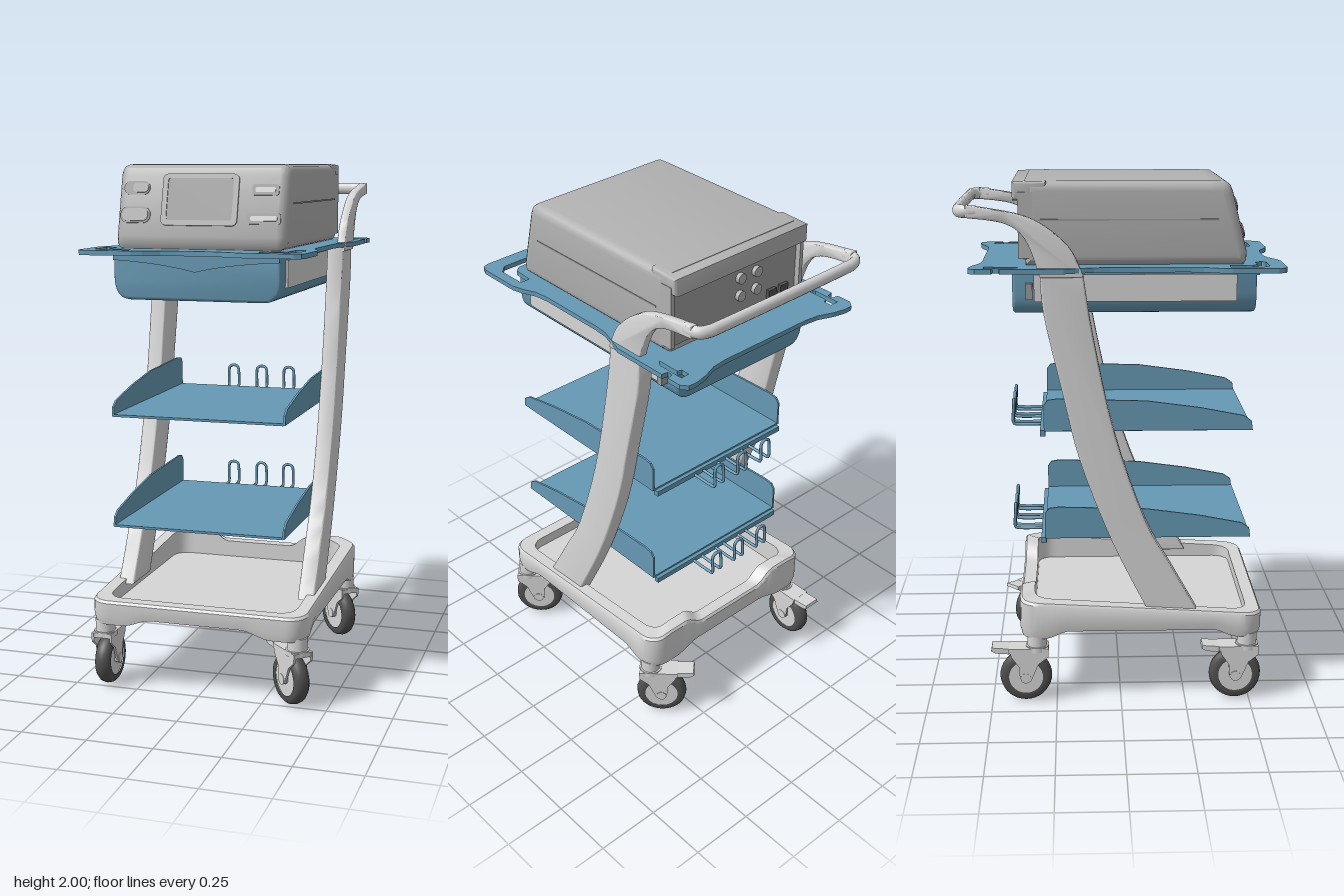
import * as THREE from 'three';
import { toCreasedNormals } from 'three/addons/utils/BufferGeometryUtils.js';

const mat = (name, color, side = THREE.FrontSide) => {
  const m = new THREE.MeshStandardMaterial({ color, side });
  m.name = name;
  return m;
};

export function createModel() {
  const blue = mat('trayBlue', 0x6699b4);
  const frame = mat('frameLightGrey', 0xd6d6d6);
  const grey = mat('consoleGrey', 0xb2b2b2);
  const panel = mat('panelGrey', 0x9c9c9c);
  const rubber = mat('tyreRubber', 0x505050);

  const model = new THREE.Group();
  model.name = 'equipmentTrolley';

  const add = (name, geo, material, parent = model) => {
    const m = new THREE.Mesh(geo, material);
    m.name = name;
    parent.add(m);
    return m;
  };
  const box = (name, x0, x1, y0, y1, z0, z1, material, parent) => add(name,
    new THREE.BoxGeometry(x1 - x0, y1 - y0, z1 - z0)
      .translate((x0 + x1) / 2, (y0 + y1) / 2, (z0 + z1) / 2), material, parent);
  const vecs = (pts) => pts.map(([a, b]) => new THREE.Vector2(a, b));
  const spline = (pts, n = 20) => new THREE.SplineCurve(vecs(pts)).getPoints(n).map((p) => [p.x, p.y]);
  const roundRect = (w, h, r, cx = 0, cy = 0) => {
    const s = new THREE.Shape();
    [[1, 1, 0], [-1, 1, 1], [-1, -1, 2], [1, -1, 3]].forEach(([sx, sy, q]) =>
      s.absarc(cx + sx * (w / 2 - r), cy + sy * (h / 2 - r), r, q * Math.PI / 2, (q + 1) * Math.PI / 2, false));
    s.closePath();
    return s;
  };
  const extrude = (shape, depth, bevel = 0) => new THREE.ExtrudeGeometry(shape, {
    depth: depth - 2 * bevel, curveSegments: 10, bevelEnabled: bevel > 0, bevelSize: bevel,
    bevelThickness: bevel, bevelOffset: -bevel, bevelSegments: 4,
  }).translate(0, 0, bevel);
  // Side profile given as [z, y], extruded across x
  const sideExtrude = (pts, xa, xb, bevel = 0) => toCreasedNormals(
    extrude(new THREE.Shape(vecs(pts)), Math.abs(xb - xa), bevel)
      .rotateY(-Math.PI / 2).translate(Math.max(xa, xb), 0, 0), 0.6);

  // Base: arched rim swept round the plan, with a recessed floor
  const zc = 0.0775;
  const smooth = THREE.MathUtils.smoothstep;
  const ring = roundRect(0.85, 0.935, 0.07).getSpacedPoints(160).slice(0, -1);
  const pos = [], idx = [];
  ring.forEach((p) => {
    const x = p.x, z = p.y + zc;
    const back = smooth(-z, 0.28, 0.36);
    const top = 0.36 + 0.055 * (0.545 - z) / 0.935
      + back * (0.012 * (1 - smooth(Math.abs(x), 0.34, 0.4)) - 0.045 * (1 - smooth(Math.abs(x), 0.16, 0.25)));
    const bottom = 0.265 + 0.03 * (1 - Math.max(
      smooth(Math.abs(x), 0.18, 0.3) * smooth(Math.abs(p.y), 0.28, 0.38), 0));
    const ix = x * 0.87, iz = p.y * 0.88 + zc;
    pos.push(x * 0.985, bottom, p.y * 0.985 + zc, x, bottom + 0.03, z, x, top - 0.01, z,
      x * 0.985, top, p.y * 0.985 + zc, ix, top, iz, ix, bottom, iz);
  });
  const K = 6, N = ring.length;
  for (let i = 0; i < N; i++) for (let k = 0; k < K; k++) {
    const a = i * K + k, b = i * K + (k + 1) % K, j = ((i + 1) % N) * K;
    const c = j + k, d = j + (k + 1) % K;
    idx.push(a, b, c, b, d, c);
  }
  const rim = new THREE.BufferGeometry();
  rim.setAttribute('position', new THREE.Float32BufferAttribute(pos, 3));
  rim.setIndex(idx);
  add('baseRim', toCreasedNormals(rim.toNonIndexed(), 0.6), frame);
  box('baseFloor', -0.385, 0.385, 0.293, 0.315, zc - 0.425, zc + 0.425, frame);

  // Casters: those on the left are swivelled
  const wheelProfile = vecs([[0.066, -0.028], [0.085, -0.03], [0.097, -0.018], [0.101, 0],
    [0.097, 0.018], [0.085, 0.03], [0.066, 0.028]]);
  const caster = (x, z, yaw) => {
    const g = new THREE.Group();
    g.name = 'caster';
    g.position.set(x, 0, z);
    g.rotation.y = yaw;
    model.add(g);
    const cyl = (name, r, h, y, zz, m, turn) => {
      const geo = new THREE.CylinderGeometry(r, r, h, 28);
      if (turn) geo.rotateZ(Math.PI / 2);
      return add(name, geo.translate(0, y, zz), m, g);
    };
    add('tyre', new THREE.LatheGeometry(wheelProfile, 36).rotateZ(Math.PI / 2).translate(0, 0.102, -0.045), rubber, g);
    cyl('wheelHub', 0.07, 0.048, 0.102, -0.045, frame, true);
    cyl('axle', 0.02, 0.086, 0.102, -0.045, frame, true);
    cyl('swivelStem', 0.038, 0.06, 0.245, 0, frame);
    cyl('swivelCollar', 0.045, 0.02, 0.218, 0, frame);
    const cheek = [[0.045, 0.222], [0.043, 0.19], [0.005, 0.16], [-0.025, 0.09], [-0.05, 0.08],
      [-0.068, 0.1], [-0.072, 0.15], [-0.1, 0.19], [-0.11, 0.222]];
    for (const s of [-1, 1]) add('forkCheek', sideExtrude(cheek, s * 0.032, s * 0.041), frame, g);
    box('forkCrown', -0.041, 0.041, 0.206, 0.224, -0.11, 0.043, frame, g);
    add('brakeLever', sideExtrude([[-0.09, 0.222], [-0.09, 0.2], [-0.16, 0.205], [-0.178, 0.215], [-0.175, 0.228]],
      -0.035, 0.035), frame, g);
  };
  for (const z of [0.49, -0.325]) {
    caster(-0.38, z, 0);
    caster(0.385, z, Math.PI / 4);
  }

  // Curved side posts, running up into slimmer handle arms
  const post = [...spline([[0.3, 0.355], [0.19, 0.55], [0.09, 0.735], [-0.025, 1.075], [-0.105, 1.45], [-0.14, 1.685]]),
    ...spline([[-0.295, 1.685], [-0.285, 1.53], [-0.22, 1.24], [-0.155, 0.97], [-0.035, 0.65], [0.11, 0.355]])];
  const arm = [...spline([[-0.137, 1.66], [-0.152, 1.7], [-0.19, 1.77], [-0.275, 1.845], [-0.375, 1.89], [-0.56, 1.922]]),
    ...spline([[-0.56, 1.876], [-0.42, 1.855], [-0.345, 1.795], [-0.295, 1.66]])];
  for (const s of [-1, 1]) {
    add('sidePost', sideExtrude(post, s * 0.335, s * 0.4, 0.008), frame);
    add('handleArm', sideExtrude(arm, s * 0.372, s * 0.406, 0.006), frame);
  }
  const bar = [[0.389, -0.52], [0.389, -0.555], [0.377, -0.577], [0.345, -0.59], [0.3, -0.592]];
  const barPath = new THREE.CatmullRomCurve3([...bar, ...bar.map(([x, z]) => [-x, z]).reverse()]
    .map(([x, z]) => new THREE.Vector3(x, 0, z)));
  add('handleBar', new THREE.TubeGeometry(barPath, 80, 0.018, 14).scale(1, 1.3, 1).translate(0, 1.898, 0), frame);

  // Top tray with waisted sides and corner grips
  const half = [[0.2, -0.515], [0.26, -0.522], [0.32, -0.545], [0.37, -0.556], [0.405, -0.555], [0.425, -0.53],
    [0.425, -0.47], [0.4, -0.466], [0.4, -0.444], [0.425, -0.44], [0.425, -0.21], [0.408, -0.16], [0.388, -0.1],
    [0.383, -0.04], [0.383, 0.24], [0.39, 0.3], [0.412, 0.35], [0.425, 0.4], [0.425, 0.57], [0.415, 0.595],
    [0.39, 0.605], [0.21, 0.605], [0.17, 0.595], [0.11, 0.568], [0.05, 0.56]];
  const mirror = (pts) => pts.map(([x, z]) => [-x, z]).reverse();
  const tray = new THREE.Shape(vecs([...half, ...mirror(half)]));
  const frontGrip = [[0.385, 0.4], [0.385, 0.515], [0.355, 0.545], [0.25, 0.545], [0.235, 0.53], [0.25, 0.505],
    [0.315, 0.505], [0.34, 0.485], [0.345, 0.4]];
  const backGrip = [[0.355, -0.5], [0.39, -0.5], [0.39, -0.39], [0.372, -0.37], [0.372, -0.46], [0.355, -0.465]];
  for (const hole of [frontGrip, backGrip]) {
    tray.holes.push(new THREE.Path(vecs(hole)), new THREE.Path(vecs(mirror(hole))));
  }
  add('topTray', extrude(tray, 0.018).rotateX(Math.PI / 2).translate(0, 1.694, 0), blue);

  // Drawer under the tray, with side runners
  const drawer = new THREE.Shape();
  drawer.moveTo(-0.317, 1.678).lineTo(-0.317, 1.59);
  drawer.bezierCurveTo(-0.315, 1.535, -0.295, 1.51, -0.25, 1.51).lineTo(0.25, 1.51);
  drawer.bezierCurveTo(0.295, 1.51, 0.315, 1.535, 0.317, 1.59).lineTo(0.317, 1.678);
  add('drawer', toCreasedNormals(extrude(drawer, 0.905, 0.012).translate(0, 0, -0.4), 0.6), blue);
  const lip = new THREE.Shape();
  lip.moveTo(-0.315, 1.678).lineTo(-0.315, 1.655).quadraticCurveTo(-0.12, 1.645, 0, 1.615);
  lip.quadraticCurveTo(0.12, 1.645, 0.315, 1.655).lineTo(0.315, 1.678);
  add('drawerLip', extrude(lip, 0.02).translate(0, 0, 0.495), blue);
  for (const s of [-1, 1]) {
    const side = (name, a, b, ...rest) => box(name, Math.min(s * a, s * b), Math.max(s * a, s * b), ...rest);
    side('drawerRunner', 0.312, 0.324, 1.56, 1.66, -0.32, 0.43, frame);
    side('runnerLatch', 0.315, 0.345, 1.57, 1.63, -0.35, -0.325, panel);
  }

  // Two shelves with raised sides and rear cable hooks
  const wall = [[0.5, 0], [0.495, 0.035], [0.465, 0.056], [0.3, 0.088], [0.1, 0.115], [-0.1, 0.121], [-0.24, 0.125],
    [-0.275, 0.12], [-0.29, 0.1], [-0.29, 0]];
  for (const y of [1.07, 0.645]) {
    const g = new THREE.Group();
    g.name = 'shelf';
    g.position.y = y;
    model.add(g);
    box('shelfPlate', -0.33, 0.33, -0.002, 0.007, -0.29, 0.5, blue, g);
    box('shelfRearLip', -0.325, 0.325, -0.022, 0, -0.305, -0.285, blue, g);
    for (const s of [-1, 1]) add('shelfSide', sideExtrude(wall, s * 0.328, s * 0.336), blue, g);
    for (const x of [-0.135, -0.01, 0.11]) {
      const leg = [[-0.022, -0.016, -0.29], [-0.022, -0.016, -0.39], [-0.022, -0.012, -0.41],
        [-0.022, 0.05, -0.41], [-0.018, 0.07, -0.41]];
      const path = new THREE.CatmullRomCurve3([...leg, [0, 0.078, -0.41], ...leg.map(([a, b, c]) => [-a, b, c]).reverse()]
        .map(([a, b, c]) => new THREE.Vector3(a + x, b, c)));
      add('cableHook', new THREE.TubeGeometry(path, 60, 0.006, 8), blue, g);
    }
  }

  // Console: sloping front, overhanging rear hood
  const body = [[0.455, 1.692], [0.465, 1.71], [0.466, 1.74], [0.411, 1.96], [0.4, 1.985], [0.38, 1.998], [0.33, 2.0],
    [-0.35, 2.0], [-0.35, 1.692]];
  add('consoleBody', sideExtrude(body, -0.325, 0.325, 0.035), grey);
  add('consoleHood', sideExtrude([[-0.27, 2.0], [-0.395, 1.997], [-0.395, 1.93], [-0.27, 1.93]], -0.322, 0.322, 0.012), grey);
  for (const s of [-1, 1]) {
    box('hoodCheek', s * 0.316 - 0.008, s * 0.316 + 0.008, 1.72, 1.96, -0.375, -0.28, grey);
    box('sideGroove', s * 0.325 - 0.002, s * 0.325 + 0.002, 1.857, 1.863, -0.3, 0.36, panel);
  }
  box('rearPanel', -0.305, 0.305, 1.715, 1.935, -0.356, -0.345, panel);
  for (const x of [-0.1, -0.02]) for (const y of [1.8, 1.87]) {
    add('rearSocket', new THREE.CylinderGeometry(0.02, 0.02, 0.02, 20).rotateX(Math.PI / 2).translate(x, y, -0.362), grey);
  }
  for (const x of [-0.24, -0.18]) box('rearConnector', x - 0.02, x + 0.02, 1.72, 1.77, -0.37, -0.35, rubber);

  // Front panel details, laid on the sloping face
  const face = new THREE.Group();
  face.name = 'frontPanel';
  face.position.set(0, 1.85, 0.4385);
  face.rotation.x = -Math.atan2(0.055, 0.22);
  model.add(face);
  const plate = (name, x, y, w, h, r, t, m) => add(name, extrude(roundRect(w, h, r, x, y), t), m, face);
  const bezel = roundRect(0.29, 0.19, 0.02, -0.005, 0.022);
  bezel.holes.push(roundRect(0.25, 0.155, 0.01, -0.005, 0.024));
  add('screenBezel', extrude(bezel, 0.006), grey, face);
  plate('screen', -0.005, 0.024, 0.25, 0.155, 0.01, 0.002, panel);
  plate('upperKeypad', -0.25, 0.065, 0.1, 0.05, 0.024, 0.004, panel);
  plate('upperKey', -0.235, 0.065, 0.06, 0.034, 0.016, 0.008, grey);
  plate('lowerKeypad', -0.25, -0.035, 0.115, 0.06, 0.028, 0.004, panel);
  plate('lowerKey', -0.25, -0.035, 0.1, 0.046, 0.022, 0.008, grey);
  for (const [y, w] of [[0.06, 0.1], [-0.045, 0.125]]) {
    plate('portSurround', 0.24, y, w, 0.04, 0.01, 0.004, panel);
    plate('portCover', 0.24, y, w - 0.025, 0.018, 0.006, 0.007, frame);
  }

  return model;
}
